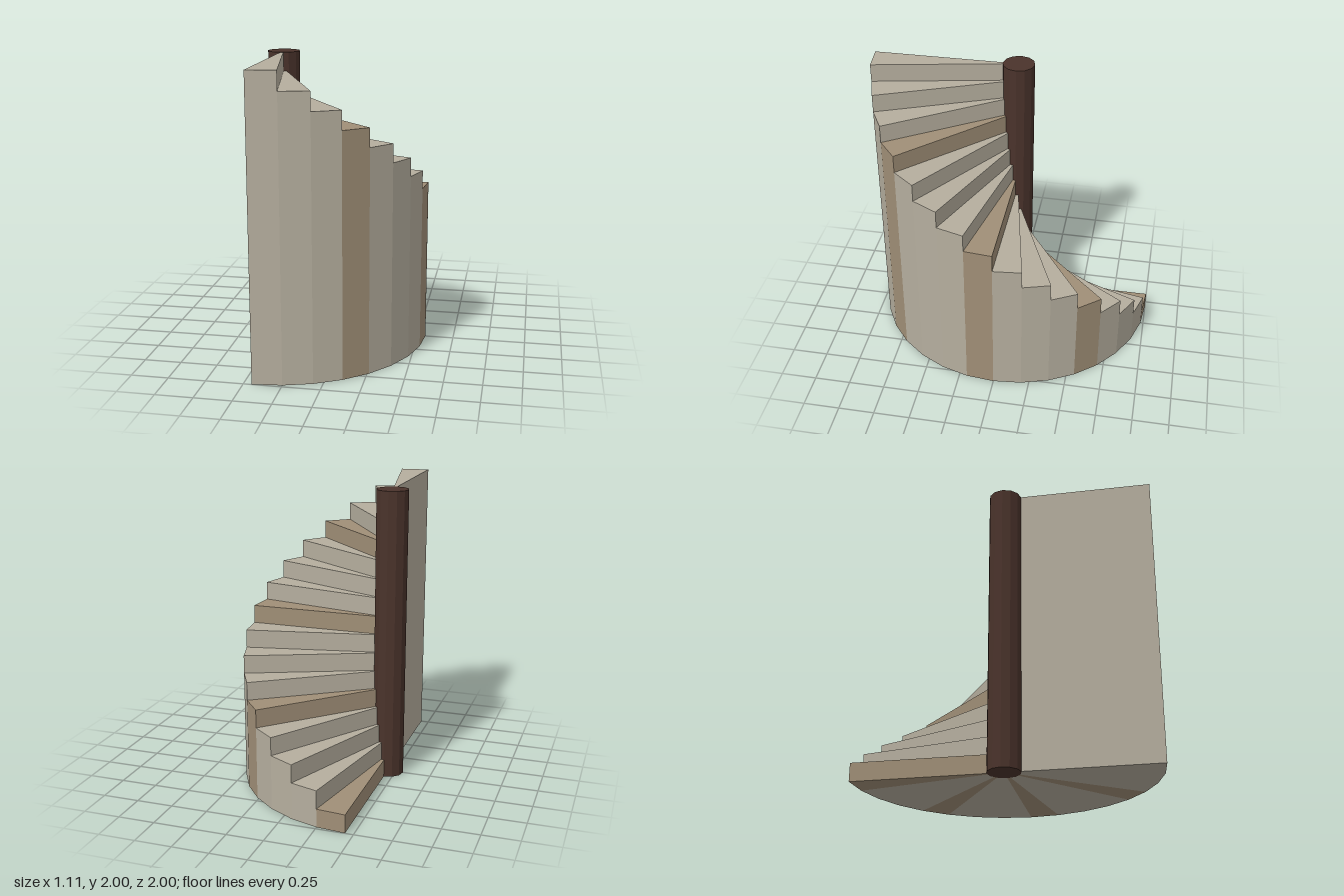
import * as THREE from 'three';

const STEPS = 16;
const RISE = 0.125;
const AXIS_X = -0.445;
const INNER = 0.1; // tucked just inside the column
const OUTER = 1;

function mat(name, color) {
  const m = new THREE.MeshStandardMaterial({ color });
  m.name = name;
  return m;
}

// Solid wedge from the ground to the tread, angle measured from the back towards +x
function wedge(a0, a1, height) {
  const at = (r, a) => new THREE.Vector2(r * Math.sin(a), r * Math.cos(a));
  const shape = new THREE.Shape([at(INNER, a0), at(OUTER, a0), at(OUTER, a1), at(INNER, a1)]);
  const geo = new THREE.ExtrudeGeometry(shape, { depth: height, bevelEnabled: false });
  return geo.rotateX(-Math.PI / 2);
}

export function createModel() {
  const stone = mat('pale stone', 0xb5ae9e);
  const tan = mat('tan stone', 0xa08f77);
  const wood = mat('dark wood', 0x4a332b);
  const group = new THREE.Group();
  group.name = 'spiralStaircase';

  // Steps climb from back to front through half a turn; every fourth is tan
  const steps = new THREE.Group();
  steps.name = 'steps';
  const sweep = Math.PI / STEPS;
  for (let i = 0; i < STEPS; i++) {
    const step = new THREE.Mesh(wedge(i * sweep, (i + 1) * sweep, (i + 1) * RISE), i % 4 ? stone : tan);
    step.name = `step${i + 1}`;
    steps.add(step);
  }
  steps.position.x = AXIS_X;
  group.add(steps);

  // Central column, a hair taller than the top tread so its cap stays clean
  const height = STEPS * RISE + 0.001;
  const columnGeo = new THREE.CylinderGeometry(0.11, 0.11, height + 0.001, 12).toNonIndexed();
  columnGeo.computeVertexNormals();
  const column = new THREE.Mesh(columnGeo, wood);
  column.name = 'centralColumn';
  column.position.set(AXIS_X, (STEPS * RISE) / 2, 0);
  group.add(column);

  return group;
}
